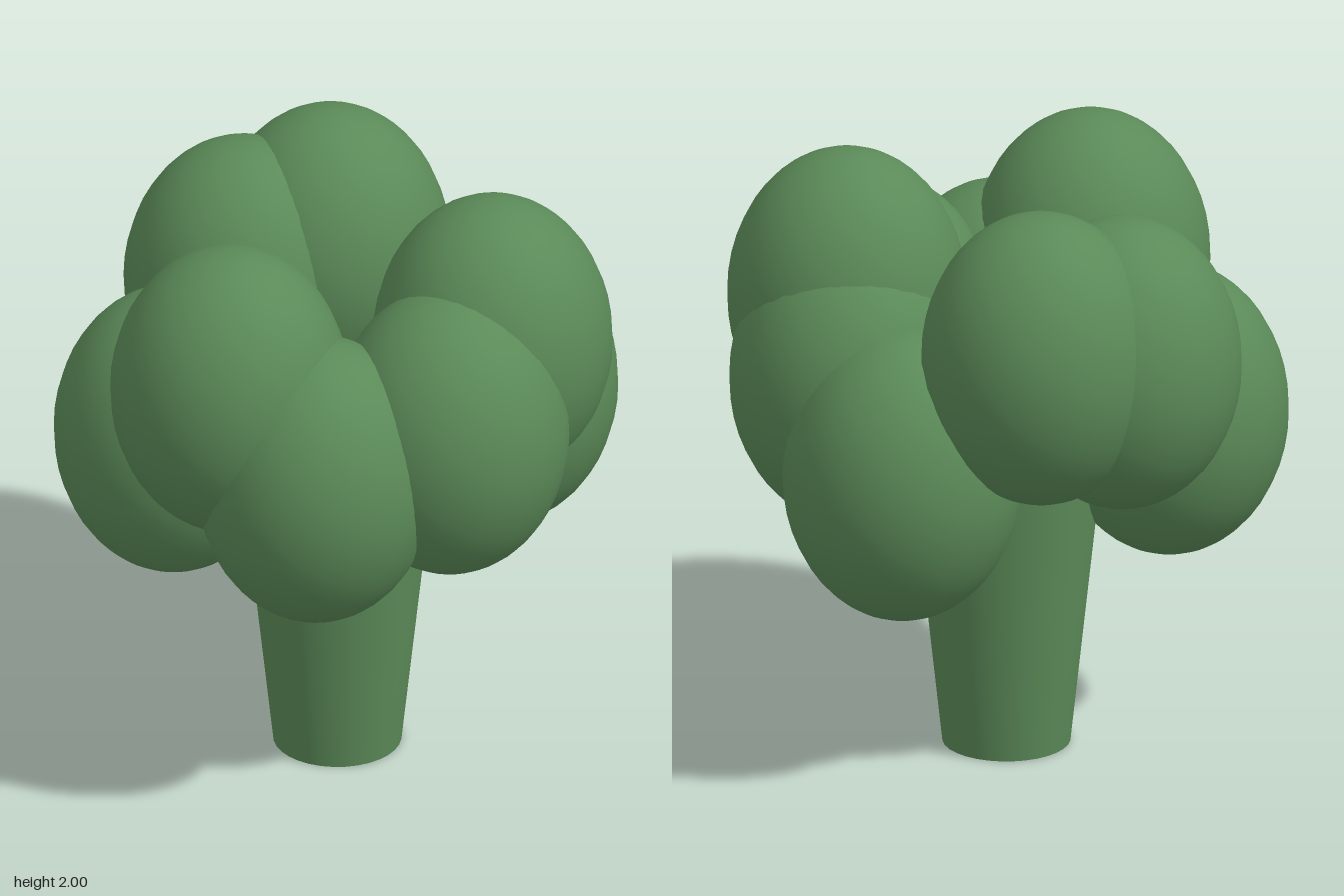
import * as THREE from 'three';

export function createModel() {
  const group = new THREE.Group();
  const green = new THREE.MeshStandardMaterial({ color: 0x5b8a58 });
  green.name = 'leafGreen';

  // Stalk: flares upward, then runs straight into the crown
  const stalkProfile = [
    [0.205, 0], [0.3, 0.88], [0.3, 1.2],
  ].map(([r, y]) => new THREE.Vector2(r, y));
  const stalk = new THREE.Mesh(new THREE.LatheGeometry(stalkProfile, 32), green);
  stalk.name = 'stalk';
  stalk.position.z = 0.007;
  group.add(stalk);

  // Flat ends of the stalk
  for (const [name, radius, y, turn] of [['stalkBase', 0.205, 0, 1], ['stalkTop', 0.3, 1.2, -1]]) {
    const cap = new THREE.Mesh(new THREE.CircleGeometry(radius, 32), green);
    cap.name = name;
    cap.position.set(0, y, 0.007);
    cap.rotation.x = turn * Math.PI / 2;
    group.add(cap);
  }

  // Crown: a ring of equal, slightly tall round florets
  const floretGeometry = new THREE.SphereGeometry(1, 32, 24).scale(0.383, 0.482, 0.386);
  const centres = [
    [-0.39, 1.483, 0.357],
    [0.478, 1.515, 0.183],
    [0.045, 1.499, -0.512],
    [-0.243, 1.432, -0.457],
    [-0.515, 1.108, -0.085],
    [0.435, 1.06, -0.275],
    [0.513, 1.283, 0.047],
    [0.308, 1.317, 0.42],
    [-0.133, 1.218, 0.505],
  ];
  centres.forEach((centre, i) => {
    const floret = new THREE.Mesh(floretGeometry, green);
    floret.name = `floret${i + 1}`;
    floret.position.set(...centre);
    group.add(floret);
  });

  return group;
}
